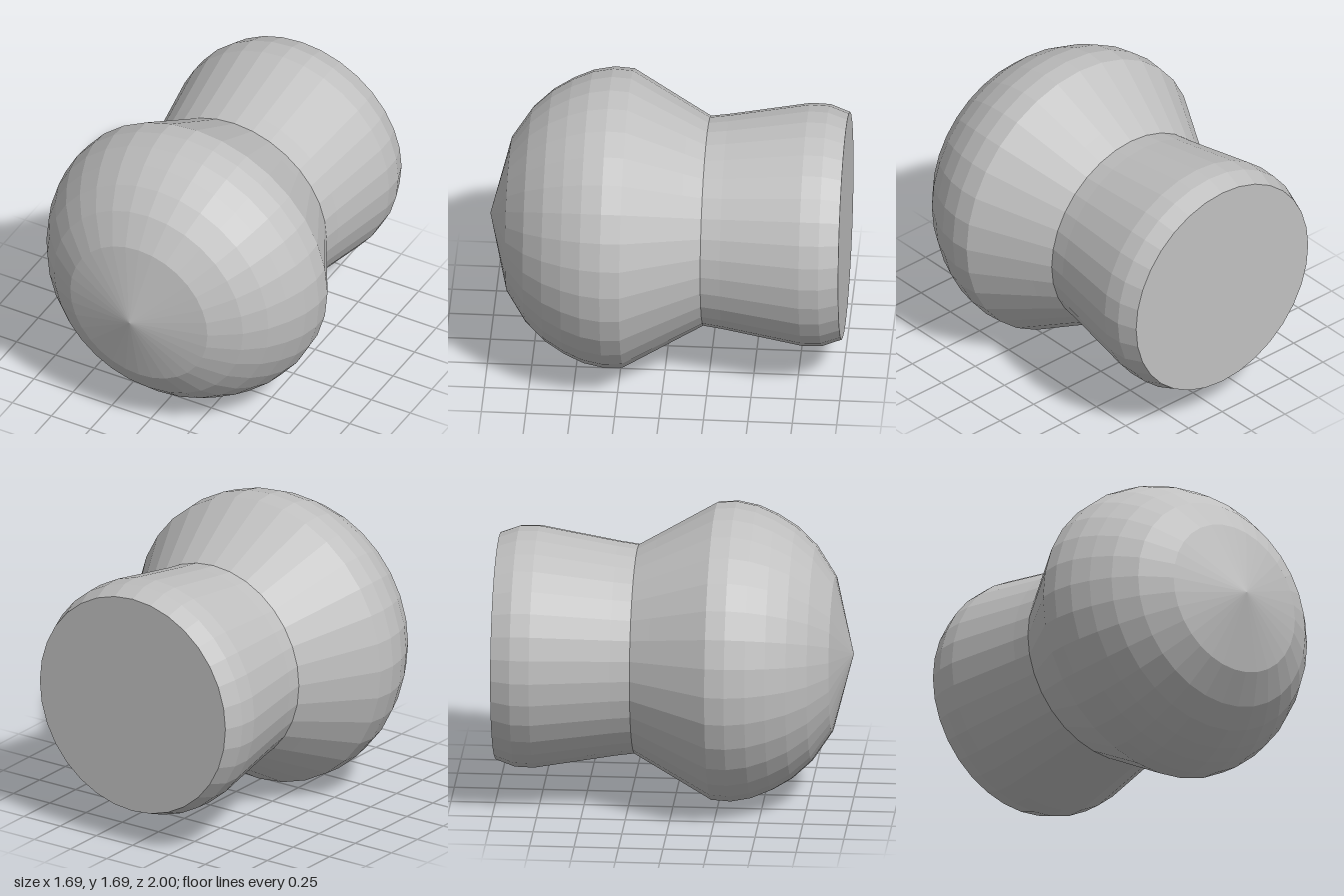
import * as THREE from 'three';

// Turned knob: one faceted profile swept round the z axis
export function createModel() {
  const group = new THREE.Group();
  group.name = 'knob';
  const grey = new THREE.MeshStandardMaterial({ color: 0xc0c0c0, flatShading: true });
  grey.name = 'grey';

  // [radius, position along the axis], from the flat back to the pointed front
  const profile = [
    [0, -1], [0.64, -1], [0.68, -0.89], [0.683, -0.78], // back cap and rim
    [0.605, -0.33], [0.59, -0.22], // neck
    [0.652, -0.11], [0.84, 0.22], // flare
    [0.847, 0.33], [0.825, 0.445], [0.778, 0.555], [0.71, 0.667], // round head
    [0.607, 0.778], [0.44, 0.889], [0, 1], // shallow cone tip
  ].map(([r, h]) => new THREE.Vector2(r, h));

  const geometry = new THREE.LatheGeometry(profile, 32).rotateX(Math.PI / 2).toNonIndexed();
  geometry.computeVertexNormals();
  const body = new THREE.Mesh(geometry, grey);
  body.name = 'knobBody';
  body.position.y = 0.848;
  group.add(body);
  return group;
}
